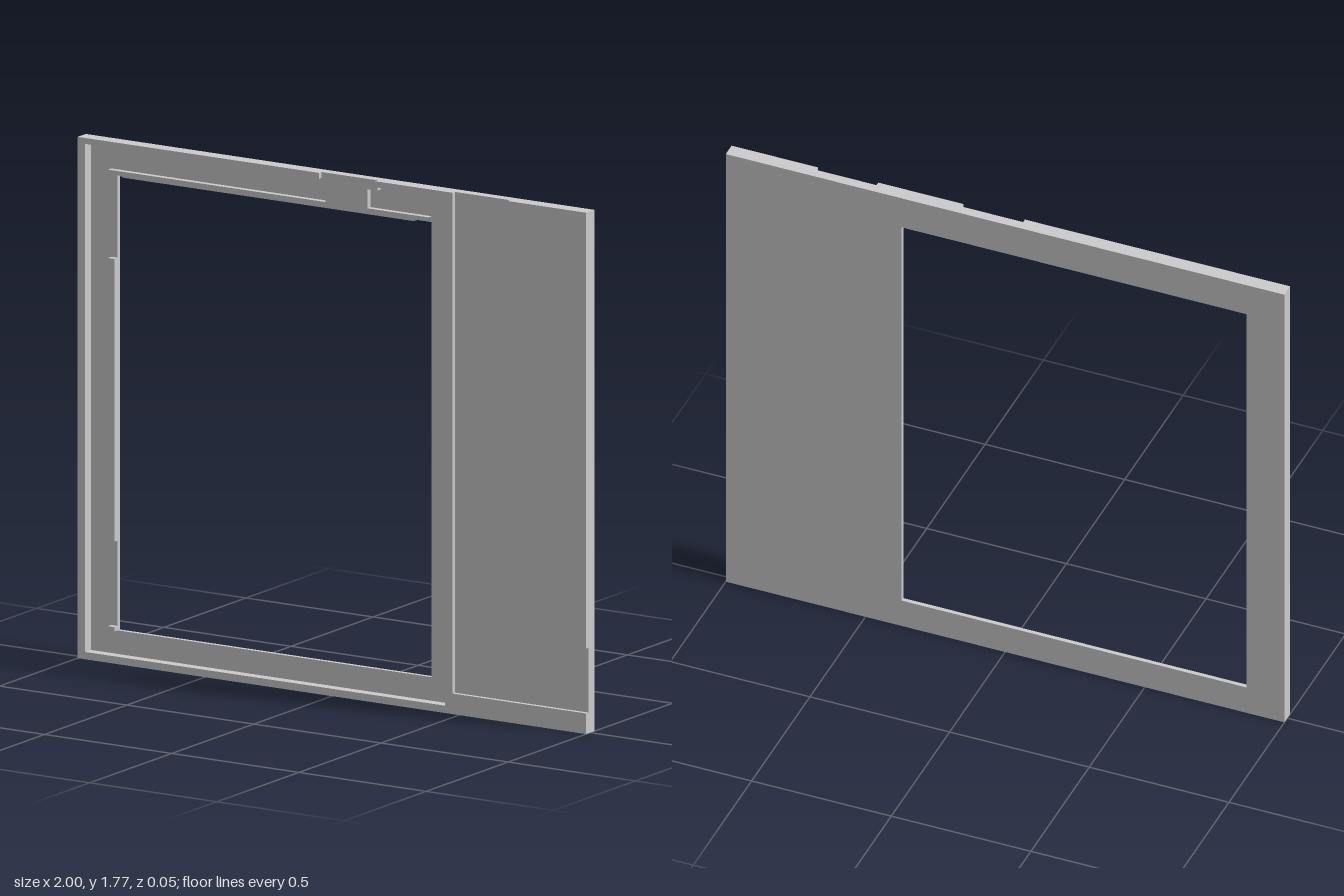
import * as THREE from 'three';

// Depth levels, from the back face to the front rim
const BACK = -0.025, FLOOR = -0.01, STEP = 0.01, FRONT = 0.025;
const H = 1.77;

const rect = (x0, y0, x1, y1) => [[x0, y0], [x1, y0], [x1, y1], [x0, y1]];
const vectors = (pts) => pts.map(([x, y]) => new THREE.Vector2(x, y));

export function createModel() {
  const group = new THREE.Group();
  const material = new THREE.MeshStandardMaterial({ color: 0xcccccc, flatShading: true });

  // Extrudes an outline in the xy plane between two depths
  function plate(name, outline, z0, z1, hole) {
    const shape = new THREE.Shape(vectors(outline));
    if (hole) shape.holes.push(new THREE.Path(vectors(hole)));
    const geometry = new THREE.ExtrudeGeometry(shape, { depth: z1 - z0, bevelEnabled: false });
    geometry.translate(0, 0, z0);
    const mesh = new THREE.Mesh(geometry, material);
    mesh.name = name;
    group.add(mesh);
  }

  // Back plate with the window opening
  plate('backPlate', rect(-1, 0, 1, H), BACK, FLOOR, rect(-0.865, 0.105, 0.37, 1.65));

  // Middle layer, cut out around the recessed window surround
  plate('middleLayer', rect(-1, 0, 1, H), FLOOR, STEP, rect(-0.97, 0.025, 0.445, 1.75));

  // Raised rim, open at the top notch and around the L-shaped channel
  plate('frontRim', [
    [-0.05, H], [-1, H], [-1, 0], [1, 0], [1, 0.07], [0.475, 0.07], [0.475, H], [0.17, H],
    [0.17, 1.75], [0.445, 1.75], [0.445, 0.025], [-0.97, 0.025], [-0.97, 1.75], [-0.05, 1.75],
  ], STEP, FRONT);

  // Raised side panel beyond the channel
  plate('sidePanel', rect(0.69, 0.29, 1, H), STEP, FRONT);

  // Lip above the window, joined to the bridge under the top notch
  plate('topLip', [
    [-0.89, 1.67], [-0.83, 1.65], [0.31, 1.65], [0.37, 1.67], [0.13, 1.67], [0.13, 1.735],
    [0.17, 1.735], [0.17, 1.75], [-0.05, 1.75], [-0.05, 1.735], [-0.035, 1.735], [-0.035, 1.67],
  ], FLOOR, STEP);

  // Ridge and small corner nub beside the window
  plate('sideRidge', rect(-0.89, 0.41, -0.865, 1.37), FLOOR, STEP);
  plate('cornerNub', rect(-0.89, 0.105, -0.865, 0.12), FLOOR, STEP);

  return group;
}
